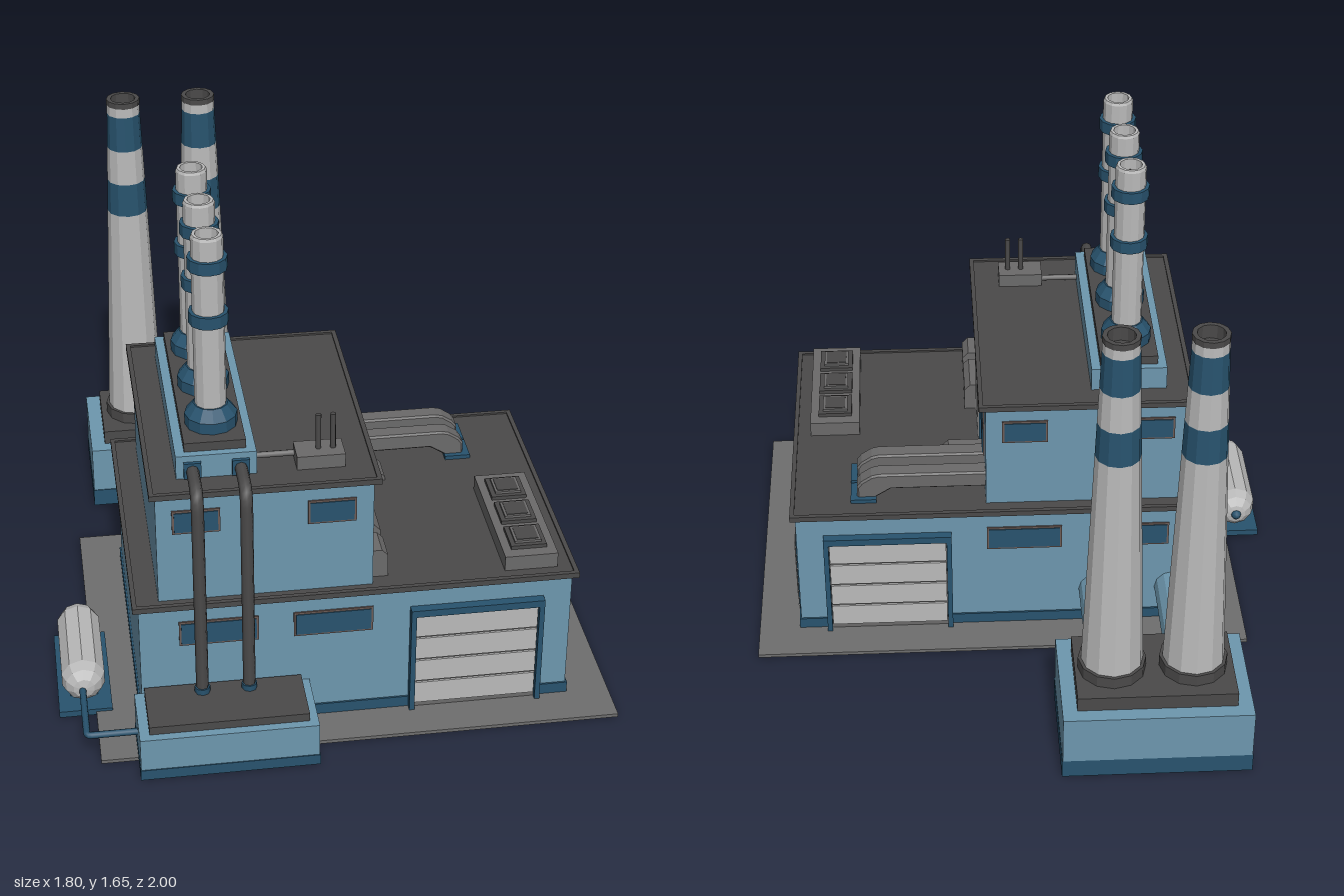
import * as THREE from 'three';

const mat = (name, hex) => {
  const m = new THREE.MeshStandardMaterial({ color: hex });
  m.name = name;
  return m;
};

export function createModel() {
  const root = new THREE.Group();
  root.name = 'factory';
  const wall = mat('wallBlue', 0x6d97ae), navy = mat('darkBlue', 0x28536e), roofMat = mat('roofGrey', 0x4b4a4a),
    paving = mat('pavingGrey', 0x6e6e6e), light = mat('lightGrey', 0xbababa), metal = mat('ductGrey', 0x6b6a6a),
    trim = mat('windowTrim', 0x6b5b56), soot = mat('soot', 0x333333);

  const add = (name, geo, material, x = 0, y = 0, z = 0, parent = root) => {
    const m = new THREE.Mesh(geo, material);
    m.name = name;
    m.position.set(x, y, z);
    parent.add(m);
    return m;
  };
  // Box given by its limits on each axis
  const box = (name, material, x0, x1, y0, y1, z0, z1) =>
    add(name, new THREE.BoxGeometry(x1 - x0, y1 - y0, z1 - z0), material, (x0 + x1) / 2, (y0 + y1) / 2, (z0 + z1) / 2);
  // Faceted solid of revolution from [radius, height] pairs
  const turned = (pts, sides = 12) => {
    const g = new THREE.LatheGeometry(pts.map(p => new THREE.Vector2(p[0], p[1])), sides).toNonIndexed();
    g.computeVertexNormals();
    return g;
  };
  // Roof slab with a slightly raised rim
  const roof = (name, x0, x1, y, z0, z1) => {
    box(name, roofMat, x0, x1, y, y + 0.013, z0, z1);
    for (const [a, b, c, d] of [[x0, x1, z0, z0 + 0.015], [x0, x1, z1 - 0.015, z1],
      [x0, x0 + 0.015, z0 + 0.015, z1 - 0.015], [x1 - 0.015, x1, z0 + 0.015, z1 - 0.015]])
      box(name + 'Rim', roofMat, a, b, y + 0.013, y + 0.019, c, d);
  };

  // Ground and building volumes
  box('groundSlab', paving, -0.78, 0.9, 0, 0.012, -0.37, 0.9);
  box('lowerWalls', wall, -0.636, 0.755, 0.05, 0.48, -0.225, 0.755);
  box('lowerPlinth', navy, -0.642, 0.761, 0.006, 0.05, -0.231, 0.761);
  roof('lowerRoof', -0.655, 0.772, 0.48, -0.245, 0.78);
  box('upperWalls', wall, -0.57, 0.11, 0.49, 0.877, -0.185, 0.738);
  roof('upperRoof', -0.588, 0.132, 0.877, -0.205, 0.757);

  // Windows, mirrored on the front and back walls
  const zWindow = (x0, x1, y0, y1, z, s) => {
    const lim = (d) => s > 0 ? [z, z + d] : [z - d, z];
    box('windowTrim', trim, x0, x1, y0, y1, ...lim(0.005));
    box('windowGlass', navy, x0 + 0.007, x1 - 0.007, y0 + 0.007, y1 - 0.007, ...lim(0.008));
  };
  for (const s of [1, -1]) {
    const zl = s > 0 ? 0.755 : -0.225, zu = s > 0 ? 0.738 : -0.185;
    zWindow(-0.51, -0.257, 0.33, 0.42, zl, s);
    zWindow(-0.145, 0.11, 0.33, 0.42, zl, s);
    zWindow(-0.52, -0.37, 0.742, 0.826, zu, s);
    zWindow(-0.097, 0.055, 0.742, 0.826, zu, s);

    // Roller gates: raised frame around four slats
    const gate = new THREE.Group();
    gate.name = 'rollerGate';
    gate.position.set(0.447, 0, zl);
    gate.rotation.y = s > 0 ? 0 : Math.PI;
    root.add(gate);
    for (const x of [-0.2085, 0.2085])
      add('gateJamb', new THREE.BoxGeometry(0.017, 0.4, 0.03), navy, x, 0.205, 0.015, gate);
    add('gateLintel', new THREE.BoxGeometry(0.4, 0.025, 0.03), navy, 0, 0.3925, 0.015, gate);
    add('gateBacking', new THREE.BoxGeometry(0.4, 0.37, 0.01), metal, 0, 0.195, 0.005, gate);
    for (let i = 0; i < 4; i++)
      add('gateSlat', new THREE.BoxGeometry(0.396, 0.08, 0.01), light, 0, 0.071 + i * 0.088, 0.012, gate);
  }

  // Side windows and doors
  for (const z of [0.555, -0.002]) {
    box('sideWindowTrim', trim, 0.11, 0.115, 0.605, 0.787, z - 0.063, z + 0.063);
    box('sideWindowGlass', navy, 0.11, 0.118, 0.612, 0.78, z - 0.056, z + 0.056);
  }
  const door = (x, y0, y1, z) => {
    box('doorFrame', navy, x, x + 0.01, y0, y1, z - 0.093, z + 0.093);
    box('doorLeaf', light, x, x + 0.013, y0, y1 - 0.015, z - 0.078, z + 0.078);
    box('doorGroove', metal, x, x + 0.015, y0 + 0.02, y1 - 0.033, z - 0.062, z + 0.062);
    box('doorPanel', light, x, x + 0.017, y0 + 0.026, y1 - 0.039, z - 0.056, z + 0.056);
  };
  door(0.755, 0.012, 0.315, 0.57);
  door(0.755, 0.012, 0.315, -0.037);
  door(0.11, 0.495, 0.79, 0.281);

  // Roof chimneys on their plinth
  box('chimneyPlinth', wall, -0.496, -0.245, 0.89, 0.97, -0.108, 0.66);
  box('chimneyPlinthCap', roofMat, -0.467, -0.275, 0.97, 1.0, -0.083, 0.635);
  for (const z of [0.04, 0.277, 0.513]) {
    add('chimneyFoot', turned([[0.083, 1], [0.083, 1.037], [0.055, 1.073], [0.045, 1.073]]), navy, -0.37, 0, z);
    add('chimneyShaft', turned([[0.05, 1.06], [0.05, 1.643], [0.046, 1.652], [0.036, 1.652], [0.036, 1.6]]), light, -0.37, 0, z);
    add('chimneyMouth', turned([[0.037, 1.615], [0, 1.615]]), soot, -0.37, 0, z);
    for (const y of [1.355, 1.538])
      add('chimneyBand', turned([[0.048, y], [0.062, y], [0.062, y + 0.04], [0.048, y + 0.04]]), navy, -0.37, 0, z);
  }

  // Tall stacks on a separate block, linked to the building by ducts
  box('stackBlock', wall, -0.71, -0.1, 0.065, 0.235, -1, -0.6);
  box('stackBlockBase', navy, -0.712, -0.098, 0, 0.065, -1, -0.597);
  box('stackBlockCap', roofMat, -0.66, -0.148, 0.235, 0.285, -0.953, -0.648);
  const radius = y => 0.1 - 0.044 * (y - 0.32) / 1.22;
  const rings = [[0.32, 1.12, light], [1.12, 1.24, navy], [1.24, 1.365, light], [1.365, 1.492, navy], [1.492, 1.525, light]];
  for (const x of [-0.53, -0.268]) {
    add('stackCollar', turned([[0.11, 0.285], [0.11, 0.325], [0.09, 0.325]]), roofMat, x, 0, -0.8);
    for (const [a, b, m] of rings)
      add('stackSection', turned([[radius(a), a], [radius(b), b]]), m, x, 0, -0.8);
    add('stackLip', turned([[0.058, 1.525], [0.058, 1.545], [0.043, 1.545], [0.043, 1.5], [0, 1.5]]), roofMat, x, 0, -0.8);
    const duct = add('linkDuct', turned([[0.062, 0], [0.062, 0.4]]), wall, x, 0.142, -0.61);
    duct.rotation.x = Math.PI / 2;
    const flange = add('linkDuctFlange', turned([[0.06, -0.04], [0.07, -0.04], [0.07, 0], [0.06, 0]]), navy, x, 0.142, -0.56);
    flange.rotation.x = Math.PI / 2;
  }

  // Front annex with pipes rising to the chimney plinth
  box('annex', wall, -0.66, -0.095, 0.037, 0.152, 0.755, 0.995);
  box('annexBase', navy, -0.662, -0.093, 0, 0.037, 0.755, 0.998);
  box('annexCap', roofMat, -0.628, -0.123, 0.152, 0.18, 0.765, 0.967);
  const pipe = (name, pts, r, material, bend = 0.05) => {
    const path = new THREE.CurvePath(), v = pts.map(p => new THREE.Vector3(...p));
    let from = v[0];
    for (let i = 1; i < v.length - 1; i++) {
      const a = v[i].clone().add(v[i - 1].clone().sub(v[i]).setLength(bend));
      const b = v[i].clone().add(v[i + 1].clone().sub(v[i]).setLength(bend));
      path.add(new THREE.LineCurve3(from, a));
      path.add(new THREE.QuadraticBezierCurve3(a, v[i], b));
      from = b;
    }
    path.add(new THREE.LineCurve3(from, v[v.length - 1]));
    add(name, new THREE.TubeGeometry(path, 48, r, 8), material);
  };
  for (const x of [-0.445, -0.295]) {
    pipe('steamPipe', [[x, 0.17, 0.805], [x, 0.922, 0.805], [x, 0.922, 0.65]], 0.02, roofMat, 0.06);
    add('pipeFoot', new THREE.CylinderGeometry(0.025, 0.025, 0.02, 8), navy, x, 0.19, 0.805);
    box('pipeFlange', navy, x - 0.027, x + 0.027, 0.895, 0.949, 0.66, 0.672);
  }

  // Storage tank with its pad, saddles and feed pipe
  box('tankPad', navy, -0.9, -0.727, 0, 0.022, 0.23, 0.65);
  for (const z of [0.31, 0.55]) box('tankSaddle', navy, -0.86, -0.77, 0.022, 0.06, z - 0.02, z + 0.02);
  const tank = add('tank', turned([[0, -0.215], [0.035, -0.207], [0.06, -0.185], [0.073, -0.15],
    [0.073, 0.15], [0.06, 0.185], [0.035, 0.207], [0, 0.215]], 10), light, -0.815, 0.102, 0.433);
  tank.rotation.x = Math.PI / 2;
  add('tankValve', new THREE.SphereGeometry(0.018, 8, 6), navy, -0.815, 0.102, 0.222);
  pipe('feedPipe', [[-0.82, 0.1, 0.63], [-0.82, 0.1, 0.878], [-0.65, 0.1, 0.878]], 0.011, navy, 0.012);

  // Air ducts crossing the lower roof
  const profile = new THREE.Shape([[0.1, 0.535], [0.43, 0.535], [0.485, 0.5], [0.545, 0.5], [0.545, 0.545],
    [0.53, 0.565], [0.495, 0.588], [0.47, 0.594], [0.1, 0.594]].map(p => new THREE.Vector2(...p)));
  for (const z of [-0.117, -0.005]) {
    add('airDuct', new THREE.ExtrudeGeometry(profile, { depth: 0.05, bevelSize: 0.006, bevelThickness: 0.007,
      bevelOffset: -0.006, bevelSegments: 1 }), metal, 0, 0, z - 0.025);
    box('airDuctFoot', navy, 0.48, 0.567, 0.49, 0.507, z - 0.05, z + 0.05);
  }

  // Small roof units beside the upper wall, with sloped tops
  const unit = (name, x1, y1, z0, z1, slope) => {
    const s = new THREE.Shape([[0.1, 0.49], [x1, 0.49], [x1, y1 - slope], [x1 - slope, y1], [0.1, y1]]
      .map(p => new THREE.Vector2(...p)));
    add(name, new THREE.ExtrudeGeometry(s, { depth: z1 - z0, bevelEnabled: false }), metal, 0, 0, z0);
  };
  unit('roofHatch', 0.252, 0.528, 0.045, 0.143, 0.022);
  unit('wallUnitWide', 0.165, 0.592, 0.385, 0.557, 0.02);
  unit('wallUnitNarrow', 0.165, 0.592, 0.597, 0.7, 0.02);

  // Cooling unit with three fan boxes
  box('coolerBody', metal, 0.54, 0.712, 0.49, 0.545, 0.24, 0.727);
  for (const z of [0.338, 0.484, 0.63]) {
    box('coolerFanCurb', roofMat, 0.567, 0.683, 0.545, 0.558, z - 0.058, z + 0.058);
    box('coolerFanHood', metal, 0.582, 0.668, 0.558, 0.566, z - 0.043, z + 0.043);
    box('coolerFanGrille', roofMat, 0.59, 0.66, 0.56, 0.568, z - 0.035, z + 0.035);
  }

  // Roof-top vent box with twin masts and a link pipe
  box('ventBox', metal, -0.12, 0.032, 0.885, 0.936, 0.565, 0.66);
  for (const x of [-0.047, -0.001])
    add('ventMast', new THREE.CylinderGeometry(0.009, 0.009, 0.13, 8), roofMat, x, 0.992, 0.612);
  pipe('ventLink', [[-0.25, 0.91, 0.587], [-0.11, 0.91, 0.587]], 0.01, metal);

  return root;
}
